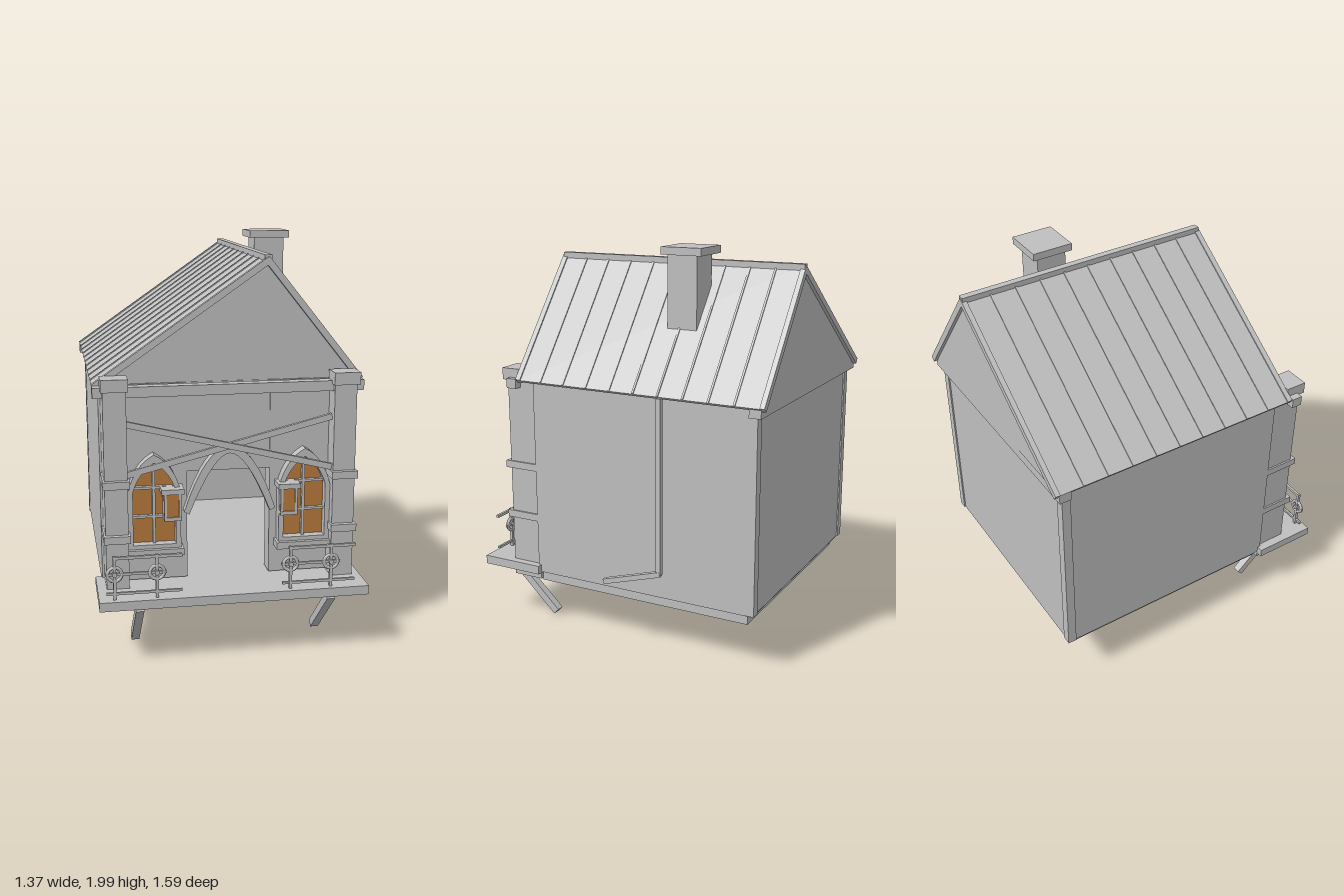
import * as THREE from 'three';

export function createModel() {
  const house = new THREE.Group();
  house.name = 'house';
  const stone = new THREE.MeshStandardMaterial({ color: 0xbfbfbf });
  stone.name = 'stoneGrey';
  const glass = new THREE.MeshStandardMaterial({ color: 0xb87a3c });
  glass.name = 'amberGlass';
  const MID = -0.03; // symmetry plane of the facade

  const add = (name, geo, mat = stone) => {
    const m = new THREE.Mesh(geo, mat);
    m.name = name;
    house.add(m);
    return m;
  };
  // box from minimum and maximum corners
  const box = (name, x0, x1, y0, y1, z0, z1, mat) => {
    const m = add(name, new THREE.BoxGeometry(x1 - x0, y1 - y0, z1 - z0), mat);
    m.position.set((x0 + x1) / 2, (y0 + y1) / 2, (z0 + z1) / 2);
    return m;
  };
  // square bar between two points
  const bar = (name, a, b, w, d = w) => {
    const p = new THREE.Vector3(...a), q = new THREE.Vector3(...b);
    const m = add(name, new THREE.BoxGeometry(w, d, p.distanceTo(q)));
    m.position.copy(p).add(q).multiplyScalar(0.5);
    m.lookAt(q);
    return m;
  };
  const extrude = (name, shape, z0, z1, mat) => {
    const g = new THREE.ExtrudeGeometry(shape, { depth: z1 - z0, bevelEnabled: false, curveSegments: 8 });
    g.translate(0, 0, z0);
    return add(name, g, mat);
  };
  const poly = (pts) => new THREE.Shape(pts.map((p) => new THREE.Vector2(...p)));

  // foundation, floor and hollow walls
  box('foundation', -0.61, 0.565, 0.25, 0.31, -0.7, 0.47);
  box('floor', -0.645, 0.59, 0.305, 0.345, -0.735, 0.47);
  box('backWall', -0.64, 0.585, 0.31, 1.33, -0.738, -0.69);
  for (const s of [-1, 1]) {
    const xs = (a, b) => (s > 0 ? [MID + a, MID + b] : [MID - b, MID - a]);
    box('sideWall', ...xs(0.575, 0.622), 0.31, 1.33, -0.7, 0.475);
    box('cornerPost', ...xs(0.58, 0.627), 0.31, 1.33, -0.745, -0.7);
    box('frontWall', ...xs(0.205, 0.6), 0.35, 1.33, 0.44, 0.54);
  }
  box('doorLintel', MID - 0.205, MID + 0.205, 0.89, 1.33, 0.45, 0.535);

  // porch deck and its slanted struts
  box('porchDeck', -0.685, 0.62, 0.3, 0.345, 0.46, 0.795);
  for (const s of [-1, 1]) {
    const x = MID + s * 0.465;
    bar('deckStrut', [x, 0.3, 0.77], [x, 0.02, 0.47], 0.04);
  }

  // porch columns with bands and caps
  for (const s of [-1, 1]) {
    const x = MID + s * 0.555;
    box('column', x - 0.055, x + 0.055, 0.26, 1.33, 0.47, 0.635);
    for (const y of [0.58, 0.85]) box('columnBand', x - 0.064, x + 0.064, y, y + 0.037, 0.475, 0.66);
    box('columnCap', x - 0.064, x + 0.064, 1.315, 1.375, 0.55, 0.66);
  }

  // horizontal beams under the gables
  box('frontBeam', -0.685, 0.62, 1.28, 1.33, 0.56, 0.615);
  box('backBeam', -0.685, 0.62, 1.28, 1.33, -0.77, -0.71);

  // crossed braces and curved door arch
  for (const s of [-1, 1])
    bar('crossBrace', [MID - s * 0.5, 1.15, 0.595 + s * 0.006], [MID + s * 0.5, 0.9, 0.595 + s * 0.006], 0.02, 0.03);
  const arch = new THREE.Shape();
  arch.moveTo(MID - 0.225, 0.7);
  arch.quadraticCurveTo(MID - 0.12, 1.02, MID, 1.02);
  arch.quadraticCurveTo(MID + 0.12, 1.02, MID + 0.225, 0.7);
  arch.lineTo(MID + 0.2, 0.685);
  arch.quadraticCurveTo(MID + 0.08, 0.985, MID, 0.985);
  arch.quadraticCurveTo(MID - 0.08, 0.985, MID - 0.2, 0.685);
  extrude('doorArch', arch, 0.535, 0.585);

  // pointed window outline
  const pointed = (C, x, w, y0, ySpring, yTop) => {
    const p = new C();
    p.moveTo(x - w, y0);
    p.lineTo(x + w, y0);
    p.lineTo(x + w, ySpring);
    p.quadraticCurveTo(x + w * 0.75, yTop - 0.05, x, yTop);
    p.quadraticCurveTo(x - w * 0.75, yTop - 0.05, x - w, ySpring);
    return p;
  };
  for (const s of [-1, 1]) {
    const x = MID + s * 0.37;
    const frame = pointed(THREE.Shape, x, 0.128, 0.52, 0.81, 0.995);
    frame.holes.push(pointed(THREE.Path, x, 0.104, 0.545, 0.81, 0.955));
    extrude('windowFrame', frame, 0.53, 0.595);
    extrude('windowPane', pointed(THREE.Shape, x, 0.108, 0.54, 0.81, 0.96), 0.541, 0.549, glass);
    box('windowMullion', x - 0.007, x + 0.007, 0.54, 0.955, 0.545, 0.57);
    for (const y of [0.68, 0.825]) box('windowBar', x - 0.105, x + 0.105, y - 0.006, y + 0.006, 0.545, 0.57);
    box('windowSill', x - 0.14, x + 0.14, 0.49, 0.525, 0.53, 0.615);

    // lantern beside the window
    const l = MID + s * 0.285;
    box('lanternGlass', l - 0.036, l + 0.036, 0.68, 0.81, 0.552, 0.625, glass);
    box('lanternTop', l - 0.055, l + 0.055, 0.805, 0.83, 0.535, 0.637);
    box('lanternBase', l - 0.042, l + 0.042, 0.672, 0.69, 0.545, 0.632);
    for (const a of [-1, 1]) for (const z of [0.552, 0.625])
      box('lanternPost', l + a * 0.036 - 0.006, l + a * 0.036 + 0.006, 0.68, 0.81, z - 0.006, z + 0.006);
  }

  // railings with wheel ornaments
  for (const x of [-0.61, 0.235]) {
    box('topRail', x - 0.01, x + 0.32, 0.543, 0.557, 0.753, 0.767);
    box('bottomRail', x - 0.04, x + 0.32, 0.368, 0.38, 0.754, 0.766);
    box('middleRail', x - 0.045, x + 0.245, 0.464, 0.476, 0.754, 0.766);
    for (const dx of [0, 0.2]) {
      const wx = x + dx;
      box('railPost', wx - 0.007, wx + 0.007, 0.345, 0.56, 0.752, 0.768);
      const rim = add('wheelRim', new THREE.TorusGeometry(0.034, 0.009, 6, 16));
      rim.position.set(wx, 0.47, 0.76);
      const hub = add('wheelHub', new THREE.CylinderGeometry(0.012, 0.012, 0.03, 10));
      hub.rotation.x = Math.PI / 2;
      hub.position.set(wx, 0.47, 0.76);
    }
  }

  // attic with gables, then the two uneven roof slopes
  const ridge = [0.16, 1.915], eaves = [[-0.685, 1.33], [0.63, 1.33]];
  extrude('atticGables', poly([[-0.65, 1.33], [0.6, 1.33], [0.16, 1.885]]), -0.772, 0.53);
  for (const e of eaves) {
    const dx = e[0] - ridge[0], dy = e[1] - ridge[1], len = Math.hypot(dx, dy);
    // outward normal of the slope
    const n = [-dy / len * Math.sign(dx), Math.abs(dx) / len];
    const slab = (lo, hi) => {
      const at = (p, h) => [p[0] + n[0] * h, p[1] + n[1] * h];
      const pts = [at(ridge, lo), at(ridge, hi), at(e, hi), at(e, lo)];
      return poly(dx > 0 ? pts : pts.reverse());
    };
    extrude('roofSlope', slab(-0.022, -0.003), -0.775, 0.535);
    for (const [z0, z1] of [[-0.79, -0.765], [0.525, 0.553]]) extrude('bargeBoard', slab(-0.028, 0.003), z0, z1);
    for (let i = 0; i < 9; i++) {
      const z = 0.407 - i * 0.131;
      extrude('roofSeam', slab(-0.006, 0.002), z - 0.005, z + 0.005);
    }
  }
  box('ridgeCap', 0.14, 0.175, 1.895, 1.925, -0.787, 0.545);

  // chimney
  box('chimneyShaft', 0.24, 0.4, 1.55, 1.97, -0.34, -0.185);
  box('chimneyCap', 0.212, 0.425, 1.963, 2, -0.373, -0.162);

  // drainpipe on the right wall
  bar('drainpipe', [0.635, 1.325, -0.265], [0.643, 0.45, -0.265], 0.024);
  bar('drainSpout', [0.643, 0.455, -0.272], [0.668, 0.37, 0.03], 0.026);

  return house;
}
